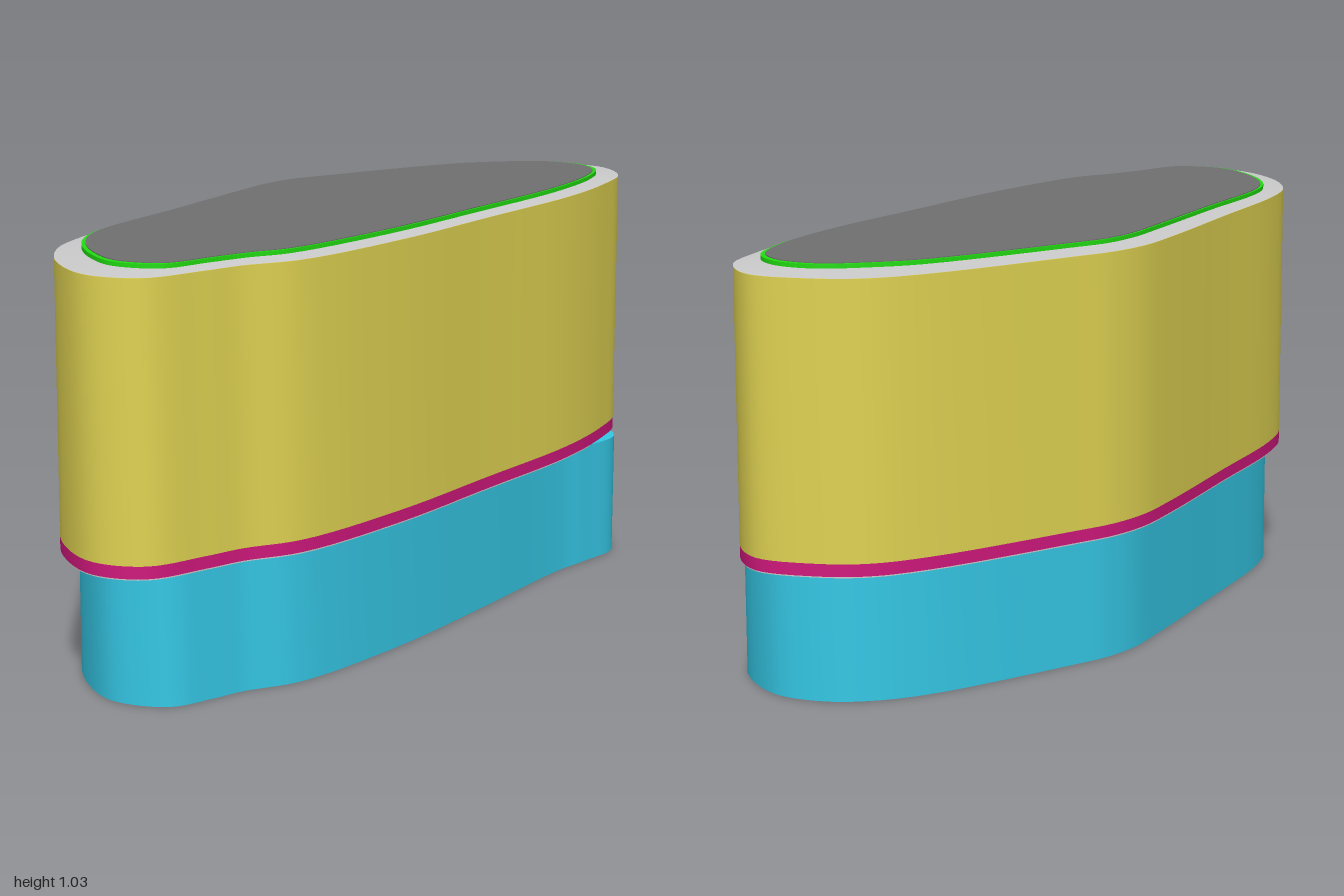
import * as THREE from 'three';
import { toCreasedNormals } from 'three/addons/utils/BufferGeometryUtils.js';

// Footprints as [x, z], all starting at the right end and running along the front
const OUTER = [[-1, 0.1], [-0.95, 0.22], [-0.8, 0.27], [-0.7, 0.295], [-0.565, 0.355], [-0.22, 0.378],
  [0.17, 0.36], [0.55, 0.34], [0.78, 0.295], [0.92, 0.24], [1, 0.12], [0.96, -0.02], [0.89, -0.12], [0.76, -0.2],
  [0.38, -0.34], [0.27, -0.375], [0.155, -0.385], [0.005, -0.365], [-0.33, -0.3], [-0.66, -0.235], [-0.8, -0.18], [-0.93, -0.06]];
const INNER = [[-0.915, 0.1], [-0.87, 0.205], [-0.75, 0.24], [-0.645, 0.27], [-0.55, 0.31], [-0.21, 0.335],
  [0.17, 0.32], [0.53, 0.3], [0.76, 0.255], [0.87, 0.2], [0.91, 0.12], [0.89, 0.02], [0.8, -0.075], [0.7, -0.145],
  [0.32, -0.29], [0.22, -0.322], [0.11, -0.325], [0, -0.308], [-0.33, -0.25], [-0.67, -0.19], [-0.79, -0.115], [-0.88, 0]];
const FOOT = [[-0.94, 0.1], [-0.89, 0.23], [-0.78, 0.27], [-0.7, 0.29], [-0.565, 0.35], [-0.22, 0.37],
  [0.17, 0.345], [0.57, 0.31], [0.69, 0.315], [0.83, 0.305], [0.935, 0.13], [0.91, 0], [0.84, -0.09], [0.72, -0.17],
  [0.34, -0.312], [0.25, -0.34], [0.145, -0.35], [0, -0.33], [-0.33, -0.27], [-0.65, -0.205], [-0.77, -0.155], [-0.88, -0.04]];

const STEPS = 132;

// Smooth closed outline through a footprint; corresponding points stay aligned
function outline(points, scale = 1) {
  const curve = new THREE.CatmullRomCurve3(
    points.map(([x, z]) => new THREE.Vector3(x * scale, z * scale, 0)), true, 'centripetal');
  return curve.getPoints(STEPS).slice(0, STEPS).map(p => new THREE.Vector2(p.x, p.y));
}

// Upright prism over an outline, with smooth walls and crisp rims
function prism(points, bottom, top) {
  const geometry = new THREE.ExtrudeGeometry(new THREE.Shape(points), { depth: top - bottom, bevelEnabled: false });
  geometry.rotateX(Math.PI / 2).translate(0, top, 0);
  return toCreasedNormals(geometry, 0.7);
}

// Sloping strip between two outlines at different heights
function strip(a, ya, b, yb) {
  const position = [], index = [];
  for (let i = 0; i < STEPS; i++) {
    position.push(a[i].x, ya, a[i].y, b[i].x, yb, b[i].y);
    const p = 2 * i, q = 2 * ((i + 1) % STEPS);
    index.push(p, q, p + 1, q, q + 1, p + 1);
  }
  const geometry = new THREE.BufferGeometry();
  geometry.setAttribute('position', new THREE.Float32BufferAttribute(position, 3));
  geometry.setIndex(index);
  geometry.computeVertexNormals();
  return geometry;
}

export function createModel() {
  const group = new THREE.Group();
  const add = (name, geometry, color, side = THREE.FrontSide) => {
    const mesh = new THREE.Mesh(geometry, new THREE.MeshStandardMaterial({ color, side }));
    mesh.name = name;
    group.add(mesh);
  };

  const outer = outline(OUTER), inner = outline(INNER);

  // Recessed base and the ledge above it
  add('base', prism(outline(FOOT), 0, 0.318), 0x35c8e6);
  add('ledge', prism(outline(OUTER, 0.999), 0.315, 0.33), 0xcccccc);

  // Main block with its coloured lower band
  add('lowerBand', prism(outer, 0.318, 0.348), 0xd0187c);
  add('body', prism(outer, 0.348, 1.01), 0xe0d352);

  // Sloping rim, bright edging and the dark top plate
  add('rim', strip(outer, 1.0105, inner, 1.018), 0xcccccc, THREE.DoubleSide);
  add('edging', prism(inner, 1.01, 1.028), 0x22dd11);
  add('topPlate', prism(outline(INNER, 0.985), 1.015, 1.03), 0x707070);

  return group;
}
